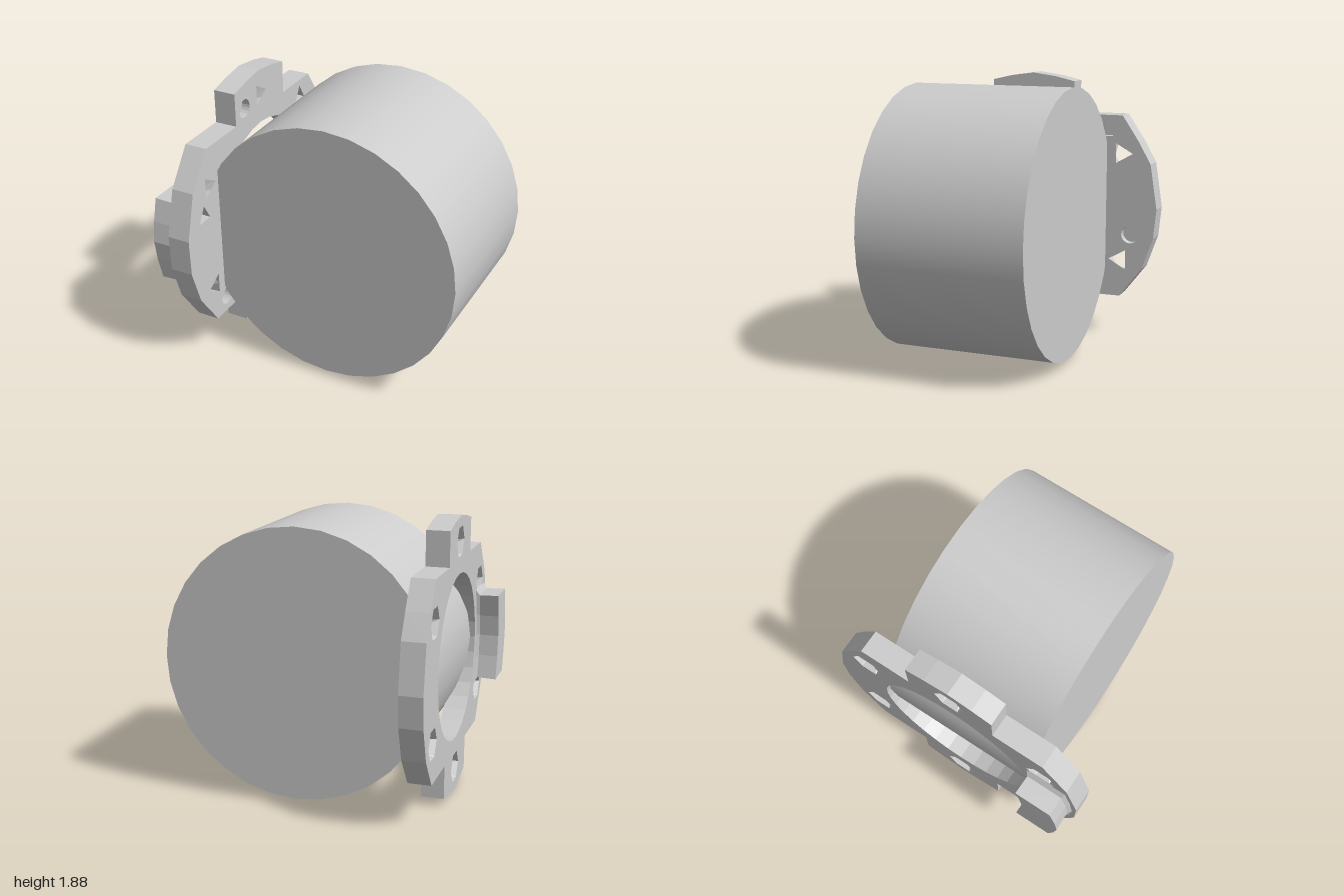
import * as THREE from 'three';
import { mergeGeometries } from 'three/addons/utils/BufferGeometryUtils.js';

const CY = 0.945;      // height of the common axis
const INNER_X = -0.69; // plate face next to the drum
const THICK = 0.155;

// Regular polygon loop, counter-clockwise in the (z, y) plane
const ring = (cx, cy, r, n, start = 0) => Array.from({ length: n }, (_, i) => {
  const a = start + (i / n) * Math.PI * 2;
  return new THREE.Vector2(cx + r * Math.cos(a), cy + r * Math.sin(a));
});

// Flat face of a loop with holes, at depth w, facing +w or -w
function face(loop, holes, w, flip) {
  const shape = new THREE.Shape(loop);
  shape.holes = holes.map((h) => new THREE.Path(h));
  const g = new THREE.ShapeGeometry(shape);
  const out = g.toNonIndexed();
  out.deleteAttribute('uv');
  out.translate(0, 0, w);
  if (flip) {
    const p = out.attributes.position;
    const v = new THREE.Vector3(), u = new THREE.Vector3();
    for (let i = 0; i < p.count; i += 3) {
      v.fromBufferAttribute(p, i + 1);
      u.fromBufferAttribute(p, i + 2);
      p.setXYZ(i + 1, u.x, u.y, u.z);
      p.setXYZ(i + 2, v.x, v.y, v.z);
    }
  }
  return out;
}

// Wall between two loops of equal length; inward for holes
function wall(a, b, wa, wb, inward) {
  const pos = [];
  a.forEach((p, i) => {
    const j = (i + 1) % a.length;
    const A = [p.x, p.y, wa], B = [a[j].x, a[j].y, wa];
    const C = [b[j].x, b[j].y, wb], D = [b[i].x, b[i].y, wb];
    const tris = inward ? [A, C, B, A, D, C] : [A, B, C, A, C, D];
    tris.forEach((t) => pos.push(...t));
  });
  const g = new THREE.BufferGeometry();
  g.setAttribute('position', new THREE.Float32BufferAttribute(pos, 3));
  return g;
}

// Merge the pieces, then turn (u, v, w) into (z, y, -x)
function assemble(parts) {
  parts.forEach((p) => p.deleteAttribute('normal'));
  const g = mergeGeometries(parts);
  g.rotateY(-Math.PI / 2);
  g.translate(INNER_X, 0, 0);
  g.computeVertexNormals();
  return g;
}

const polar = (deg, r) => {
  const a = THREE.MathUtils.degToRad(deg);
  return [r * Math.cos(a), CY + r * Math.sin(a)];
};

function plateGeometry() {
  // Rounded sides with a gabled tab at top and bottom
  const outline = [
    [0.67, 0.29], [0.85, 0.55], [0.93, 0.8], [0.935, 1.05], [0.85, 1.36], [0.67, 1.6],
    [0.31, 1.6], [0.31, 1.83], [0.17, 1.862], [0, 1.885], [-0.17, 1.862], [-0.31, 1.83], [-0.31, 1.6],
    [-0.67, 1.6], [-0.79, 1.42], [-0.88, 1.26], [-0.93, 0.94], [-0.91, 0.73], [-0.83, 0.5], [-0.67, 0.29],
    [-0.31, 0.29], [-0.31, 0.06], [-0.17, 0.03], [0, 0.005], [0.17, 0.03], [0.31, 0.06], [0.31, 0.29],
  ].map(([u, v]) => new THREE.Vector2(u, v));

  const bore = ring(0, CY, 0.56, 32);
  const parts = [wall(outline, outline, 0, THICK), wall(bore, bore, 0, THICK, true)];
  const innerHoles = [bore], outerHoles = [bore];

  // Six through holes, triangular inside and wider outside
  for (let i = 0; i < 6; i++) {
    const [u, v] = polar(30 + i * 60, 0.77);
    const start = v > CY ? Math.PI : 0;
    const corners = ring(u, v, 0.082, 3, start);
    const tri = corners.flatMap((c, k) => [c, c.clone().lerp(corners[(k + 1) % 3], 0.5)]);
    const hex = ring(u, v, 0.11, 6, start);
    innerHoles.push(tri);
    outerHoles.push(hex);
    parts.push(wall(tri, hex, 0, THICK, true));
  }
  // Blind sockets, three triangular and three round
  for (let i = 0; i < 3; i++) {
    const tri = ring(...polar(15 + i * 120, 0.765), 0.072, 3, Math.PI / 2);
    const round = ring(...polar(75 + i * 120, 0.765), 0.064, 20);
    for (const loop of [tri, round]) {
      innerHoles.push(loop);
      parts.push(wall(loop, loop, 0, 0.06, true), face(loop, [], 0.06, true));
    }
  }
  parts.push(face(outline, innerHoles, 0, true), face(outline, outerHoles, THICK, false));
  return assemble(parts);
}

function lugGeometry() {
  const section = (s) => [
    [0.575, 0.64], [0.83, 0.64], [0.87, 0.8], [0.89, 0.945], [0.87, 1.09], [0.83, 1.245],
    [0.575, 1.245], [0.61, 1.09], [0.625, 0.945], [0.61, 0.8],
  ].map(([u, v]) => new THREE.Vector2(0.73 + (u - 0.73) * s, CY + (v - CY) * s));
  const foot = section(1.14), neck = section(0.985), top = section(1);
  return assemble([
    wall(foot, neck, THICK - 0.005, 0.178),
    wall(neck, top, 0.178, 0.31),
    face(top, [], 0.31, false),
  ]);
}

export function createModel() {
  const model = new THREE.Group();
  const grey = new THREE.MeshStandardMaterial({ color: 0xcccccc });
  grey.name = 'light grey';

  const add = (name, geometry) => {
    const mesh = new THREE.Mesh(geometry, grey);
    mesh.name = name;
    model.add(mesh);
    return mesh;
  };

  // Drum lying along z, its side set into the plate
  const drum = add('drum', new THREE.CylinderGeometry(0.905, 0.905, 1.12, 32).rotateX(Math.PI / 2));
  drum.position.set(0.093, CY, 0);

  add('mountingPlate', plateGeometry());
  add('sideLug', lugGeometry());
  return model;
}
